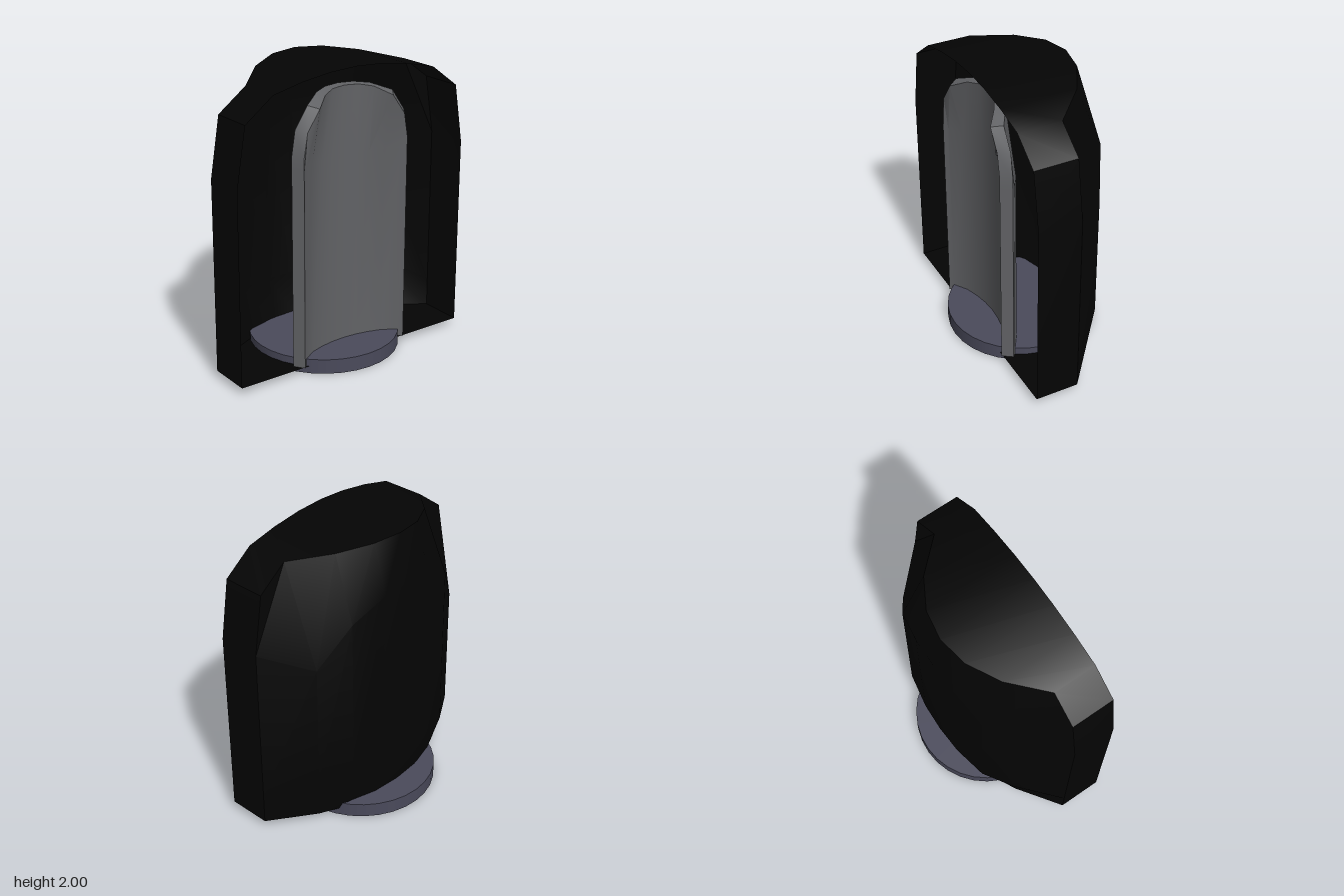
import * as THREE from 'three';
import { toCreasedNormals } from 'three/addons/utils/BufferGeometryUtils.js';

// Mirror a half row (from +x side to the centre) into a full row
const mirrorRow = (half) => [
  ...half,
  ...half.slice(0, -1).reverse().map(([x, y, z]) => [-x, y, z]),
];

// Skin between consecutive rows of points
function loft(rows, crease) {
  const pos = [];
  for (let r = 0; r < rows.length - 1; r++) {
    for (let c = 0; c < rows[r].length - 1; c++) {
      const a = rows[r][c], b = rows[r][c + 1];
      const d = rows[r + 1][c], e = rows[r + 1][c + 1];
      pos.push(...a, ...b, ...e, ...a, ...e, ...d);
    }
  }
  const g = new THREE.BufferGeometry();
  g.setAttribute('position', new THREE.Float32BufferAttribute(pos, 3));
  return toCreasedNormals(g, crease);
}

function part(name, geometry, color, side = THREE.FrontSide) {
  const mesh = new THREE.Mesh(geometry, new THREE.MeshStandardMaterial({ color, side }));
  mesh.name = name;
  return mesh;
}

const FRONT = 0.35;
const atFront = (row) => row.map(([x, y]) => [x, y, FRONT]);

// Hooded shell: floor, bevelled faceted back and arched roof, open at the front
function shellGeometry() {
  const bottom = [
    [0.89, 0.05, FRONT], [0.89, 0.05, 0.05], [0.59, 0.05, -0.16],
    [0.41, 0.05, -0.245], [0.2, 0.05, -0.305], [0, 0.05, -0.32],
  ];
  const lower = [
    [0.89, 0.25, FRONT], [0.89, 0.25, 0.05], [0.64, 0.4, -0.22],
    [0.44, 0.38, -0.34], [0.2, 0.37, -0.385], [0, 0.37, -0.395],
  ];
  const upper = [
    [0.89, 1.36, FRONT], [0.89, 1.36, 0.05], [0.64, 1.25, -0.22],
    [0.44, 1.54, -0.335], [0.2, 1.66, -0.385], [0, 1.68, -0.395],
  ];
  const top = [
    [0.825, 1.76, FRONT], [0.825, 1.76, 0.05], [0.625, 1.91, 0.05],
    [0.41, 1.96, -0.17], [0.2, 1.99, -0.29], [0, 2, -0.325],
  ];
  const rows = [atFront(bottom), bottom, lower, upper, top, atFront(top)];
  return loft(rows.map(mirrorRow), 0.7);
}

// Arched backrest: a concave upright plate whose rim flares forward at the shoulders
function panelGeometry() {
  // front x, front top, body z, rim z, back x, back top
  const columns = [
    [0.41, 1.48, 0.36, 0.36, 0.457, 1.48], [0.382, 1.64, 0.335, 0.36, 0.43, 1.65],
    [0.288, 1.775, 0.275, 0.357, 0.335, 1.79], [0.19, 1.832, 0.245, 0.28, 0.21, 1.84],
    [0.1, 1.85, 0.228, 0.235, 0.11, 1.853], [0, 1.855, 0.222, 0.222, 0, 1.857],
  ];
  const thickness = 0.068;
  const frontRow = (y) => columns.map(([x, , z]) => [x, y, z]);
  const backRow = (y) => columns.map(([, , z, , x]) => [x, y, z - thickness]);
  const frontRim = columns.map(([x, top, , z]) => [x, top, z]);
  const backRim = columns.map(([, , , z, x, top]) => [x, top, z - thickness]);
  // a repeated back corner closes the plate's side edge
  const sideCorner = (row, back) => mirrorRow([back[0], ...row]);
  const fronts = [frontRim, frontRow(1.4), frontRow(0.05)];
  const backs = [backRim, backRow(1.4), backRow(0.05)];
  return loft([
    ...fronts.map((row, i) => sideCorner(row, backs[i])),
    ...backs.map((row) => sideCorner(row, row)).reverse(),
    sideCorner(frontRim, backRim),
  ], 0.5);
}

export function createModel() {
  const model = new THREE.Group();
  model.name = 'hoodedAlcove';

  // Round base
  const base = part('base', new THREE.CylinderGeometry(0.512, 0.512, 0.1, 32), 0x4a4a5b);
  base.position.y = 0.05;

  model.add(
    base,
    part('shell', shellGeometry(), 0x040404, THREE.DoubleSide),
    part('archedPanel', panelGeometry(), 0x626366, THREE.DoubleSide),
  );
  return model;
}
